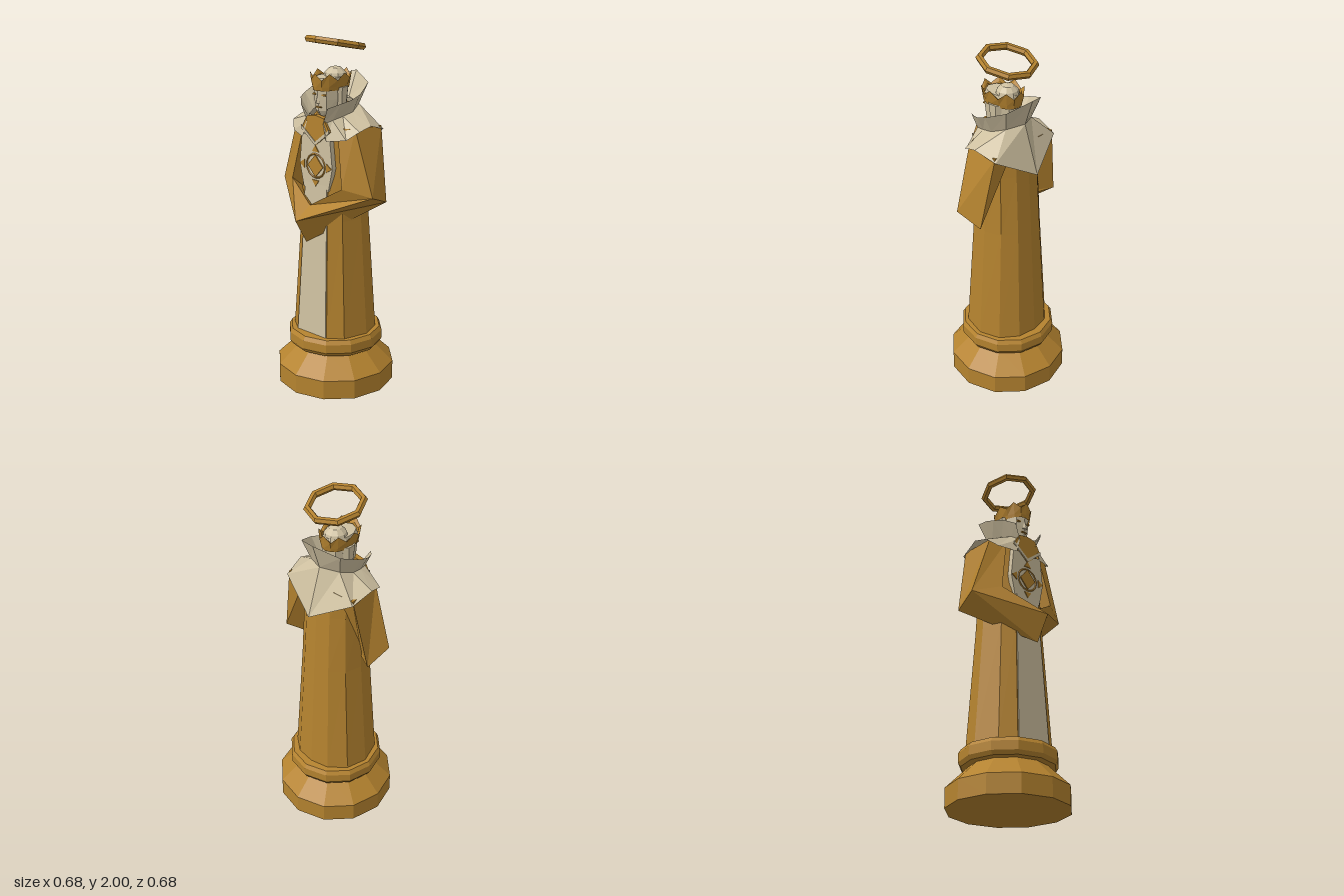
import * as THREE from 'three';

const mat = (color) => new THREE.MeshStandardMaterial({ color, flatShading: true, side: THREE.DoubleSide });

// Surface through equal-length rings of [x, y, z]
function loft(rings, closed = true, capped = false) {
  const n = rings[0].length, index = [];
  for (let r = 0; r < rings.length - 1; r++) {
    for (let i = 0; i < (closed ? n : n - 1); i++) {
      const j = (i + 1) % n, a = r * n, b = a + n;
      index.push(a + i, a + j, b + j, a + i, b + j, b + i);
    }
  }
  if (capped) {
    const top = (rings.length - 1) * n;
    for (let i = 1; i < n - 1; i++) index.push(0, i + 1, i, top, top + i, top + i + 1);
  }
  const g = new THREE.BufferGeometry();
  g.setAttribute('position', new THREE.Float32BufferAttribute(rings.flat(2), 3));
  g.setIndex(index);
  const out = g.toNonIndexed();
  out.computeVertexNormals();
  return out;
}

const flip = (p) => [-p[0], p[1], p[2]];
// Completes a front-to-back half outline on the other side
const mirror = (half) => [...half, ...half.filter((p) => p[0] !== 0).reverse().map(flip)];

// Thin plate from a symmetric outline, given on the +x side from top to bottom
function plate(half, depth) {
  const pts = [...half, ...half.filter((p) => p[0] !== 0).reverse().map(([x, y]) => [-x, y])];
  const shape = new THREE.Shape(pts.map(([x, y]) => new THREE.Vector2(x, y)));
  return new THREE.ExtrudeGeometry(shape, { depth, bevelEnabled: false });
}

export function createModel() {
  const model = new THREE.Group();
  const gold = mat(0xb5832f), cream = mat(0xcfc1a1);
  const add = (name, geometry, material, x = 0, y = 0, z = 0, parent = model) => {
    const m = new THREE.Mesh(geometry, material);
    m.name = name;
    m.position.set(x, y, z);
    parent.add(m);
    return m;
  };
  const lathe = (pts) => new THREE.LatheGeometry(pts.map(([r, y]) => new THREE.Vector2(r, y)), 12);

  // Pedestal
  add('base', lathe([[0, 0], [0.338, 0], [0.338, 0.11], [0.22, 0.225], [0, 0.225]]), gold);
  add('baseRing', lathe([[0.2, 0.225], [0.258, 0.228], [0.272, 0.25], [0.272, 0.3],
    [0.258, 0.323], [0.2, 0.325], [0, 0.325]]), gold);

  // Robe: one outline, narrowed with height
  const outline = [[0.11, 0.2], [0.19, 0.14], [0.235, 0], [0.2, -0.12], [0.11, -0.195], [0, -0.215]];
  const robeSteps = [[0.32, 1, 1], [1.0, 0.8, 0.82], [1.35, 0.74, 0.72], [1.5, 0.74, 0.68], [1.57, 0.42, 0.5], [1.62, 0.28, 0.42]];
  add('robe', loft(robeSteps.map(([y, sx, sz]) =>
    mirror(outline.map(([x, z]) => [x * sx, y, z * sz]))), true, true), gold);

  // Front panel, proud of the robe
  add('frontPanel', loft([[0.325, 0.105, 0.205], [1.0, 0.084, 0.169], [1.2, 0.08, 0.161]].map(([y, x, z]) =>
    [[x, y, z - 0.015], [x, y, z], [-x, y, z], [-x, y, z - 0.015]])), cream);

  // Joined sleeves: ring order is inner top, front, bottom, inner back
  const shoulder = [[0.12, 1.52, 0.12], [0.21, 1.52, 0.08], [0.225, 1.51, -0.12], [0.1, 1.52, -0.13]];
  const elbow = [[0.18, 1.2, 0.155], [0.325, 1.16, 0.07], [0.3, 1.1, -0.08], [0.17, 1.09, 0.02]];
  const hands = [[0, 1.09, 0.21], [0, 1.025, 0.325], [0, 0.885, 0.24], [0, 1.02, 0.14]];
  add('sleeves', loft([shoulder.map(flip), elbow.map(flip), hands, elbow, shoulder], true, true), gold);

  // Chest plate with trim and ornament
  add('chestPlate', plate([[0, 1.45], [0.1, 1.47], [0.118, 1.3], [0.09, 1.17], [0, 1.14]], 0.03), cream, 0, 0, 0.13);
  add('neckTrim', plate([[0, 1.58], [0.06, 1.57], [0.1, 1.5], [0, 1.41]], 0.03), gold, 0, 0, 0.133);
  add('neckTrimEdge', plate([[0, 1.435], [0.1, 1.515], [0.1, 1.495], [0, 1.415]], 0.006), cream, 0, 0, 0.161);
  const ornament = new THREE.Group();
  ornament.name = 'chestOrnament';
  ornament.position.set(0, 1.3, 0.16);
  model.add(ornament);
  add('ornamentRing', new THREE.TorusGeometry(0.066, 0.005, 4, 16), gold, 0, 0, 0, ornament);
  add('ornamentDiamond', plate([[0, 0.062], [0.055, 0], [0, -0.062]], 0.006), gold, 0, 0, 0, ornament);
  for (let i = 0; i < 4; i++) {
    const point = add('ornamentPoint', plate([[0, 0.115], [0.024, 0.08]], 0.005), gold, 0, 0, 0, ornament);
    point.rotation.z = i * Math.PI / 2;
  }

  // Cape and standing collar, open at the front; each row runs front to back
  const hem = [[0.085, 1.45, 0.172], [0.19, 1.465, 0.13], [0.24, 1.51, 0.08], [0.252, 1.53, 0], [0.232, 1.49, -0.13], [0, 1.36, -0.215]];
  const neck = [[0.058, 1.54, 0.165], [0.095, 1.56, 0.13], [0.115, 1.575, 0.07], [0.125, 1.59, 0], [0.1, 1.62, -0.08], [0, 1.63, -0.125]];
  const collarTop = [[0.095, 1.63, 0.172], [0.145, 1.655, 0.12], [0.168, 1.67, 0.06], [0.173, 1.69, 0], [0.135, 1.735, -0.115], [0, 1.78, -0.175]];
  const lining = neck.map(([x, y, z]) => [x * 0.88, y + 0.01, z * 0.9]);
  add('cape', loft([hem, neck].map(mirror), false), cream);
  add('collar', loft([neck, collarTop, lining].map(mirror), false), cream);

  // Head
  const head = new THREE.Group();
  head.name = 'head';
  head.position.z = 0.035;
  model.add(head);
  const oval = (y, rx, rz, n = 10, rise = 0) => Array.from({ length: n }, (_, i) => {
    const a = i / n * Math.PI * 2;
    return [Math.sin(a) * rx, y + (i % 2 ? 0 : rise), -Math.cos(a) * rz];
  }).reverse();
  add('neck', loft([oval(1.5, 0.075, 0.09), oval(1.62, 0.055, 0.07)], true, true), gold, 0, 0, 0, head);
  add('face', loft([oval(1.565, 0.035, 0.08), oval(1.6, 0.066, 0.1), oval(1.66, 0.074, 0.105),
    oval(1.74, 0.078, 0.11), oval(1.775, 0.07, 0.1)], true, true), cream, 0, 0, 0, head);
  add('nose', new THREE.ConeGeometry(0.016, 0.055, 4), cream, 0, 1.67, 0.106, head);
  add('mouth', new THREE.BoxGeometry(0.035, 0.006, 0.012), gold, 0, 1.62, 0.1, head);
  for (const s of [-1, 1]) {
    add('eye', new THREE.BoxGeometry(0.022, 0.008, 0.02), gold, s * 0.033, 1.687, 0.09, head);
    const hair = add('sideHair', new THREE.CylinderGeometry(0.03, 0.016, 0.15, 6), cream, s * 0.066, 1.65, -0.01, head);
    hair.scale.z = 1.6;
  }

  // Pointed crown and rounded cap inside it
  add('crown', loft([oval(1.71, 0.08, 0.116, 16), oval(1.73, 0.084, 0.12, 16),
    oval(1.768, 0.098, 0.128, 16, 0.035), oval(1.76, 0.084, 0.113, 16, 0.02),
    oval(1.72, 0.074, 0.105, 16)]), gold, 0, 0, 0, head);
  const dome = new THREE.SphereGeometry(0.068, 10, 6);
  const p = dome.attributes.position;
  for (let i = 0; i < p.count; i++) {
    const k = 1 + 0.09 * Math.cos(5 * Math.atan2(p.getX(i), -p.getZ(i)));
    p.setXYZ(i, p.getX(i) * k, p.getY(i), p.getZ(i) * k);
  }
  add('cap', dome, cream, 0, 1.757, 0);

  // Halo, tilted up at the front
  const halo = add('halo', new THREE.TorusGeometry(0.146, 0.02, 6, 8), gold, 0, 1.949, 0);
  halo.rotation.x = Math.PI / 2 - 0.22;

  return model;
}
